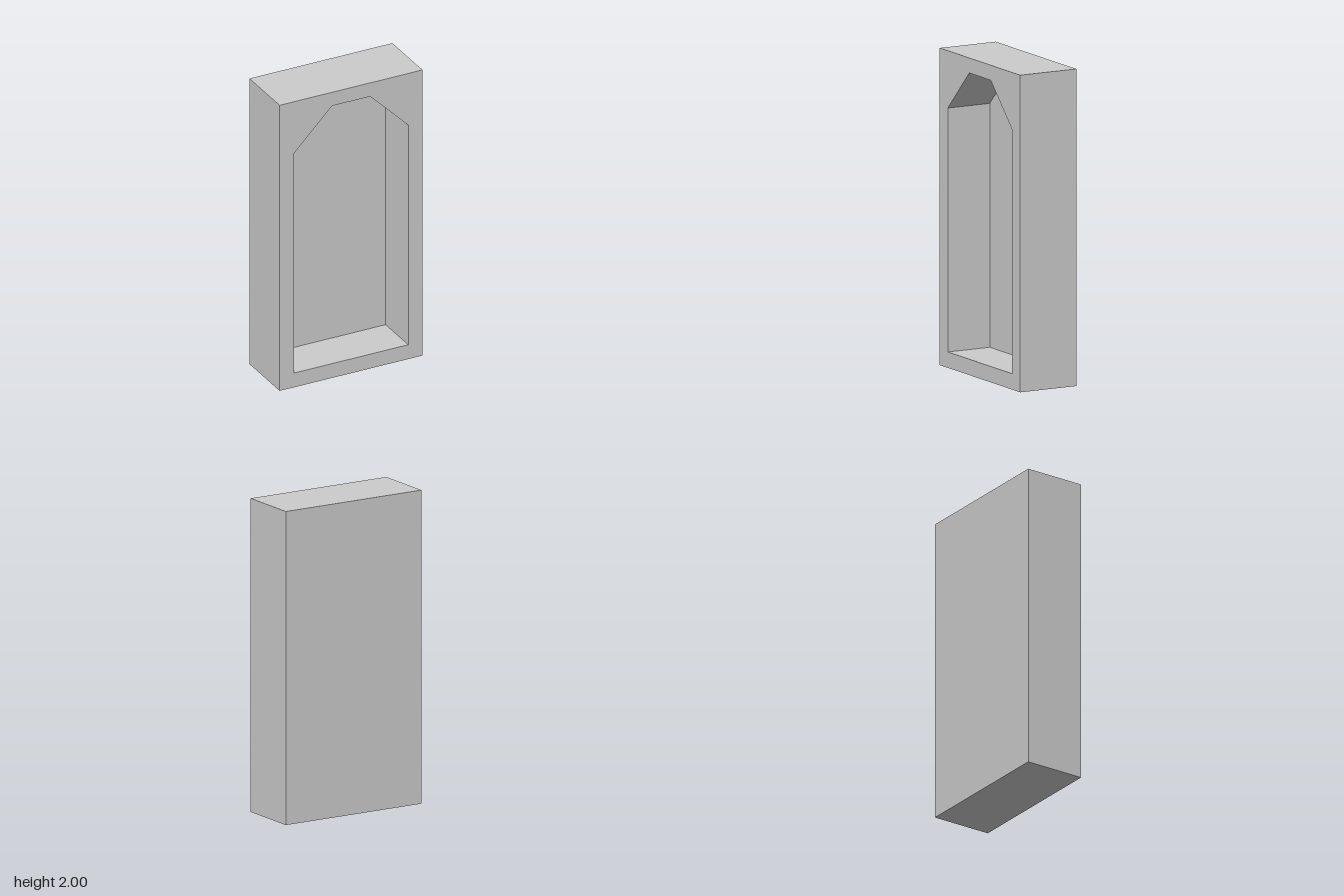
import * as THREE from 'three';
import { mergeGeometries } from 'three/addons/utils/BufferGeometryUtils.js';

const BACK = -0.2, FRONT = 0.2, FLOOR = -0.1;

// Closed band of flat walls between two depths; counter-clockwise outlines face outward
function walls(points, z0, z1) {
  const pos = [];
  points.forEach((a, i) => {
    const b = points[(i + 1) % points.length];
    pos.push(a.x, a.y, z0, b.x, b.y, z0, b.x, b.y, z1);
    pos.push(a.x, a.y, z0, b.x, b.y, z1, a.x, a.y, z1);
  });
  const geo = new THREE.BufferGeometry();
  geo.setAttribute('position', new THREE.Float32BufferAttribute(pos, 3));
  geo.computeVertexNormals();
  return geo;
}

// Flat face of a shape, facing +z
function face(shape, z) {
  const geo = new THREE.ShapeGeometry(shape).toNonIndexed();
  geo.deleteAttribute('uv');
  return geo.translate(0, 0, z);
}

export function createModel() {
  const group = new THREE.Group();
  const material = new THREE.MeshStandardMaterial({ color: 0xcccccc, flatShading: true });
  const add = (name, parts) => {
    const mesh = new THREE.Mesh(mergeGeometries(parts), material);
    mesh.name = name;
    group.add(mesh);
  };
  const outline = (pairs) => pairs.map(([x, y]) => new THREE.Vector2(x, y));

  const outer = outline([[-0.5, 0], [0.5, 0], [0.5, 2], [-0.5, 2]]);
  const arch = outline([
    [-0.4, 0.1], [0.4, 0.1], [0.4, 1.638],
    [0.133, 1.905], [-0.133, 1.905], [-0.4, 1.638],
  ]);

  // Block with an opening in its front face
  const frontShape = new THREE.Shape(outer);
  frontShape.holes.push(new THREE.Path(arch));
  const backFace = face(new THREE.Shape(outer), 0).rotateY(Math.PI).translate(0, 0, BACK);
  add('block', [face(frontShape, FRONT), walls(outer, BACK, FRONT), backFace]);

  // Niche with chamfered top corners, sunk into the block
  add('niche', [face(new THREE.Shape(arch), FLOOR), walls([...arch].reverse(), FLOOR, FRONT)]);

  return group;
}
